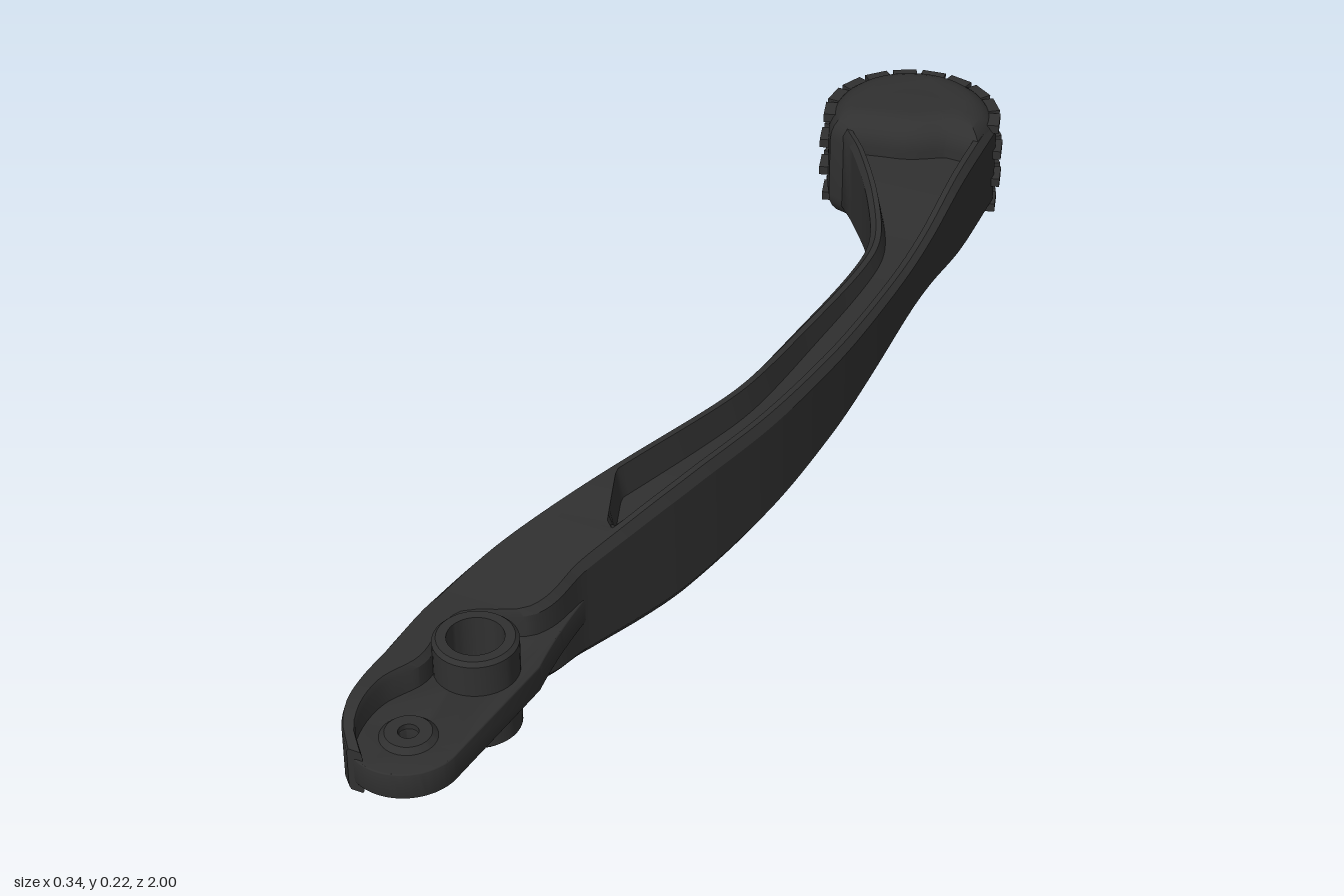
import * as THREE from 'three';
import { toCreasedNormals } from 'three/addons/utils/BufferGeometryUtils.js';

const MID = 0.11; // height of the plane of symmetry

// Smooth interpolation through [z, value] keys, z descending
function at(keys, z) {
  const n = keys.length - 1;
  let i = 0;
  while (i < n - 1 && z < keys[i + 1][0]) i++;
  const slope = k => {
    const a = keys[Math.max(k - 1, 0)], b = keys[Math.min(k + 1, n)];
    return (b[1] - a[1]) / (b[0] - a[0]);
  };
  const [z0, v0] = keys[i], [z1, v1] = keys[i + 1], d = z1 - z0;
  const t = THREE.MathUtils.clamp((z - z0) / d, 0, 1), s = t * t * (3 - 2 * t);
  return v0 + (v1 - v0) * s + t * (1 - t) * d * ((1 - t) * slope(i) - t * slope(i + 1));
}

const LEFT = [[0.985, -0.08], [0.95, -0.108], [0.9, -0.12], [0.7, -0.12], [0.6, -0.105], [0.5, -0.075],
  [0.3, -0.005], [0.1, 0.05], [0, 0.065], [-0.2, 0.07], [-0.4, 0.07], [-0.5, 0.058], [-0.6, 0.01],
  [-0.7, -0.06], [-0.78, -0.125], [-0.88, -0.14]];
const RIGHT = [[0.985, -0.055], [0.95, -0.085], [0.87, -0.09], [0.8, -0.06], [0.69, -0.058], [0.64, 0.03],
  [0.53, 0.058], [0.4, 0.095], [0.3, 0.12], [0.1, 0.155], [-0.1, 0.168], [-0.25, 0.167],
  [-0.5, 0.155], [-0.7, 0.145], [-0.88, 0.133]];
const HALF = [[0.985, 0.037], [0.92, 0.064], [0.8, 0.068], [0.65, 0.07], [0.5, 0.09], [0.32, 0.104],
  [0.1, 0.094], [-0.1, 0.078], [-0.3, 0.06], [-0.45, 0.05], [-0.55, 0.056], [-0.7, 0.082], [-0.88, 0.084]];

// Cross-section of the arm: a rounded bar with a channel in the top and bottom
function section(z) {
  const l = at(LEFT, z), r = at(RIGHT, z), h = at(HALF, z), w = r - l;
  const rim = Math.min(0.02, w * 0.3), c = Math.min(0.01, w * 0.12), cy = h * 0.84;
  const gr = r - rim;
  const gl = z > 0.45 ? gr - 0.002 : Math.min(gr - 0.002, Math.max(l + rim, 0.05 - (0.45 - z) * 0.37));
  const floor = h * (1 - 0.5 * THREE.MathUtils.smoothstep(0.45 - z, 0, 0.06));
  const step = Math.min(0.008, (gr - gl) * 0.3);
  const top = [[r, cy], [r - c, h], [gr, h], [gr - step, floor], [gl + step, floor], [gl, h], [l + c, h], [l, cy]];
  return [...top, ...top.map(([x, y]) => [x, -y]).reverse()];
}

// Skin the arm's cross-sections along z
function armGeometry() {
  const pos = [], index = [], N = 16, steps = 150;
  for (let i = 0; i <= steps; i++) {
    const z = 0.985 - (1.865 * i) / steps;
    for (const [x, y] of section(z)) pos.push(x, y + MID, z);
  }
  for (let i = 0; i < steps; i++) for (let j = 0; j < N; j++) {
    const a = i * N + j, b = i * N + (j + 1) % N;
    index.push(a, a + N, b, b, a + N, b + N);
  }
  for (let j = 1; j < N - 1; j++) index.push(0, j, j + 1); // front end face
  const g = new THREE.BufferGeometry();
  g.setAttribute('position', new THREE.Float32BufferAttribute(pos, 3));
  g.setIndex(index);
  return toCreasedNormals(g, 0.5);
}

// Extrude an outline drawn in (x, z), centred on the plane of symmetry
function slab(shape, depth, bevel, insetBevel = bevel) {
  const g = new THREE.ExtrudeGeometry(shape, {
    depth, curveSegments: 28, bevelEnabled: true, bevelThickness: bevel, bevelSize: insetBevel, bevelSegments: 6 });
  g.rotateX(Math.PI / 2).translate(0, MID + depth / 2, 0);
  return toCreasedNormals(g, 0.6);
}

// Closed ring profile turned around the vertical axis
function tube(outer, inner, half, chamfer) {
  const pts = [[inner, -half], [outer - chamfer, -half], [outer, chamfer - half], [outer, half - chamfer],
    [outer - chamfer, half], [inner, half], [inner, -half]];
  return toCreasedNormals(new THREE.LatheGeometry(pts.map(p => new THREE.Vector2(...p)), 40), 0.6);
}

export function createModel() {
  const model = new THREE.Group();
  const material = new THREE.MeshStandardMaterial({ color: 0x303030 });
  const add = (name, geometry, x = 0, y = 0, z = 0, parent = model) => {
    const m = new THREE.Mesh(geometry, material);
    m.name = name;
    m.position.set(x, y, z);
    parent.add(m);
    return m;
  };

  add('leverArm', armGeometry());

  // Thin mounting plate with pivot and bolt holes
  const plate = new THREE.Shape();
  plate.moveTo(-0.07, 0.52);
  plate.lineTo(0.055, 0.52);
  plate.quadraticCurveTo(0.055, 0.62, 0.068, 0.7);
  plate.lineTo(0.053, 0.91);
  plate.absarc(-0.03, 0.91, 0.083, 0, Math.PI, false);
  plate.lineTo(-0.113, 0.65);
  for (const [x, z, r] of [[-0.01, 0.74, 0.044], [-0.025, 0.91, 0.016]]) {
    plate.holes.push(new THREE.Path().absarc(x, z, r, 0, Math.PI * 2, true));
  }
  add('mountingPlate', slab(plate, 0.036, 0.004, 0.002));
  add('pivotHub', tube(0.063, 0.042, 0.08, 0.006), -0.01, MID, 0.74);
  add('boltBoss', tube(0.042, 0.015, 0.03, 0.008), -0.025, MID, 0.91);

  // Rounded finger grip at the far end
  const cx = -0.01, cz = -0.84;
  const pad = new THREE.Shape();
  pad.absarc(cx, cz, 0.095, Math.PI * 0.83, Math.PI * 1.97, false);
  pad.bezierCurveTo(0.04, -0.855, 0.02, -0.815, -0.02, -0.808);
  pad.quadraticCurveTo(-0.06, -0.8, -0.089, -0.791);
  add('gripPad', slab(pad, 0.114, 0.05));

  // Raised dome on both flat faces of the grip
  for (const s of [1, -1]) {
    const dome = add('gripCap', new THREE.SphereGeometry(1, 36, 16), -0.015, MID + s * 0.098, -0.862);
    dome.scale.set(0.105, 0.01, 0.07);
    dome.rotation.y = 0.3;
  }

  // Four rows of tread blocks wrapped around the grip
  const tread = new THREE.Group();
  tread.name = 'gripTread';
  model.add(tread);
  const blocks = 10;
  for (const y of [-0.08, -0.028, 0.028, 0.08]) {
    const radius = Math.abs(y) > 0.05 ? 0.141 : 0.147;
    for (let i = 0; i < blocks; i++) {
      const a = Math.PI * (0.9 + (1.0 * i) / (blocks - 1));
      const block = add('treadBlock', new THREE.BoxGeometry(0.024, 0.016, 0.042),
        cx + Math.cos(a) * radius, MID + y, cz + Math.sin(a) * radius, tread);
      block.rotation.y = -a;
    }
  }
  return model;
}
